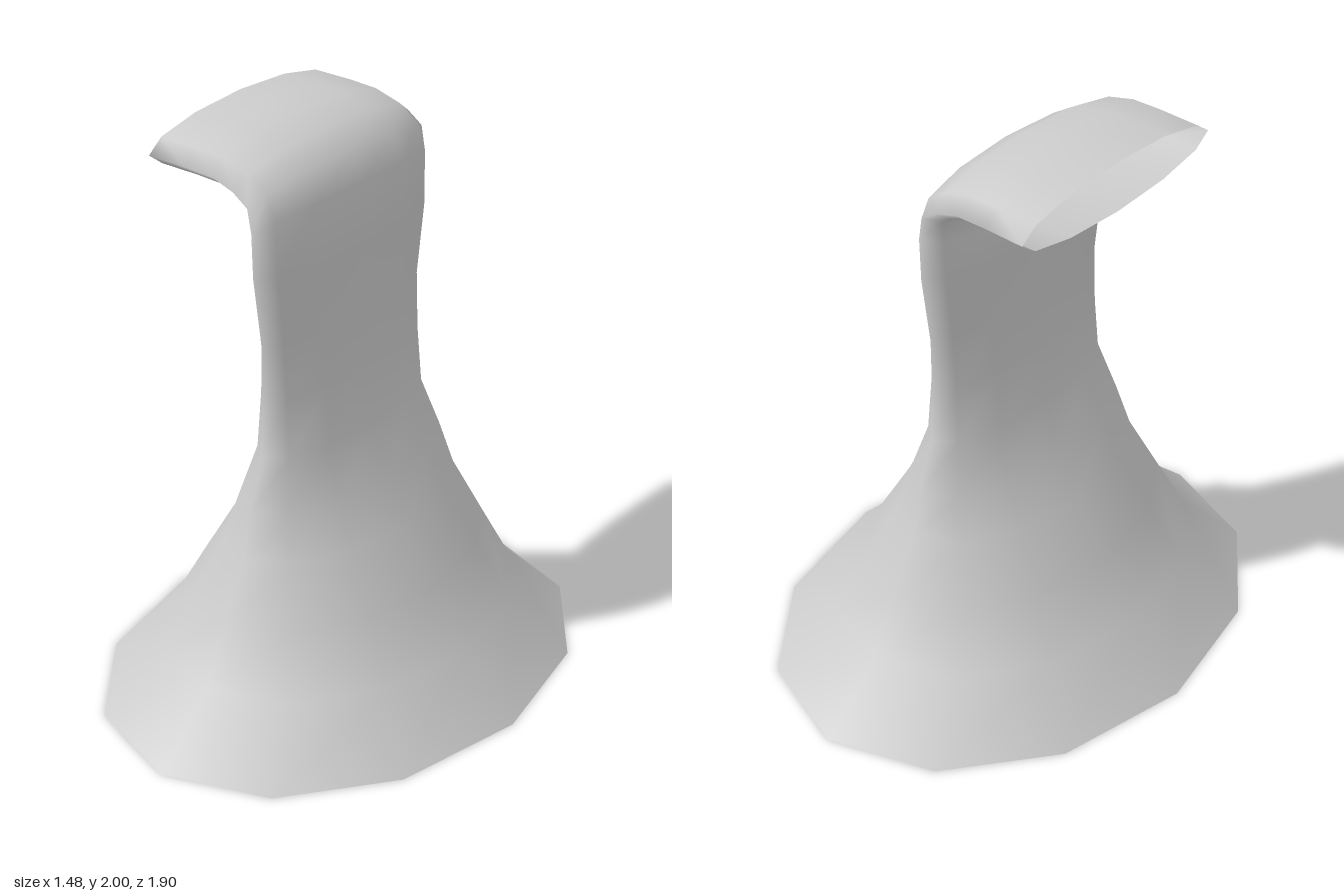
import * as THREE from 'three';

const SIDES = 12;

// Each ring: inner x, inner y, outer x, outer y, half depth in z
const RINGS = [
  // flared skirt
  [-0.74, 0, 0.74, 0, 0.95],
  [-0.535, 0.21, 0.535, 0.21, 0.72],
  [-0.415, 0.42, 0.415, 0.42, 0.61],
  [-0.295, 0.62, 0.295, 0.62, 0.51],
  [-0.215, 0.77, 0.215, 0.77, 0.475],
  // flat neck
  [-0.135, 0.95, 0.135, 0.95, 0.41],
  [-0.11, 1.15, 0.11, 1.15, 0.4],
  [-0.09, 1.35, 0.09, 1.35, 0.405],
  [-0.1, 1.6, 0.1, 1.6, 0.44],
  // bend
  [-0.09, 1.7, 0.09, 1.81, 0.445],
  [-0.07, 1.77, 0.04, 1.905, 0.445],
  [-0.095, 1.79, -0.05, 1.965, 0.445],
  [-0.14, 1.815, -0.17, 1.995, 0.445],
  // straight spout
  [-0.27, 1.82, -0.27, 2, 0.445],
  [-0.42, 1.82, -0.42, 2, 0.445],
];

// Skin of elliptical rings, open at both ends
function loft(rings) {
  const positions = [];
  const index = [];
  rings.forEach(([ix, iy, ox, oy, depth], i) => {
    for (let j = 0; j < SIDES; j++) {
      const a = (j / SIDES) * Math.PI * 2;
      const t = (1 + Math.cos(a)) / 2;
      positions.push(ix + (ox - ix) * t, iy + (oy - iy) * t, depth * Math.sin(a));
      if (i === rings.length - 1) continue;
      const p = i * SIDES + j;
      const q = i * SIDES + ((j + 1) % SIDES);
      index.push(p, p + SIDES, q, q, p + SIDES, q + SIDES);
    }
  });
  const geometry = new THREE.BufferGeometry();
  geometry.setAttribute('position', new THREE.Float32BufferAttribute(positions, 3));
  geometry.setIndex(index);
  geometry.computeVertexNormals();
  return geometry;
}

export function createModel() {
  const group = new THREE.Group();
  group.name = 'bentFunnel';
  const material = new THREE.MeshStandardMaterial({ color: 0xcccccc, side: THREE.DoubleSide });
  const shell = new THREE.Mesh(loft(RINGS), material);
  shell.name = 'funnelShell';
  group.add(shell);
  return group;
}
